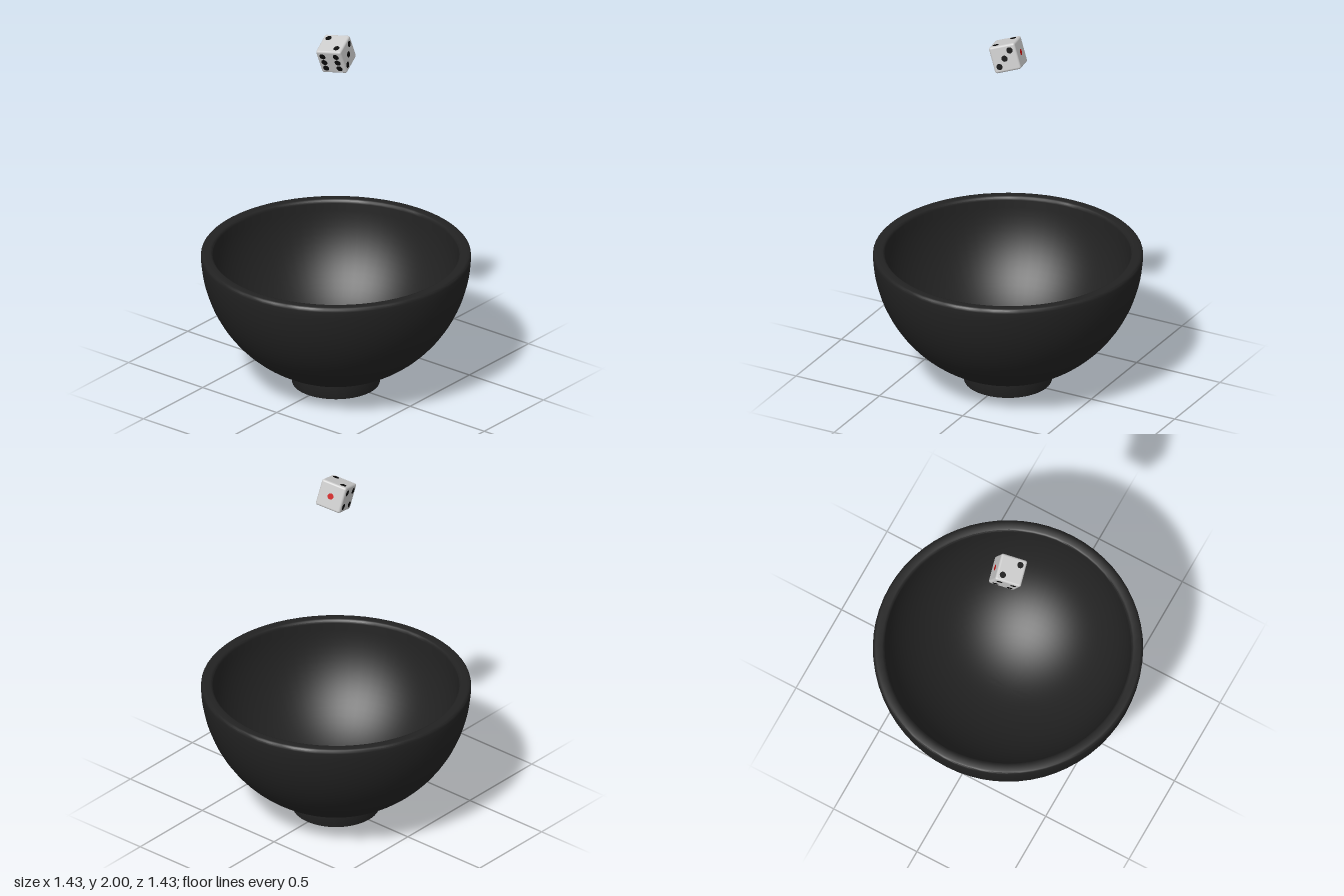
import * as THREE from 'three';
import { toCreasedNormals } from 'three/addons/utils/BufferGeometryUtils.js';
import { RoundedBoxGeometry } from 'three/addons/geometries/RoundedBoxGeometry.js';

const material = (color) => new THREE.MeshStandardMaterial({ color });

// Points on a circular arc about (0, cy), from angle a0 to a1 measured below the horizontal
function arc(radius, cy, a0, a1, steps) {
  return Array.from({ length: steps + 1 }, (_, i) => {
    const a = a0 + ((a1 - a0) * i) / steps;
    return [Math.max(0, radius * Math.cos(a)), cy - radius * Math.sin(a)];
  });
}

// Hemispherical bowl with a hollow foot ring and a rounded rim
function createBowl() {
  const rim = 0.752;
  const profile = [
    [0, 0.06], [0.188, 0.06], [0.194, 0.054], [0.194, 0.007], [0.2, 0],
    [0.225, 0], [0.231, 0.003], [0.233, 0.009], [0.233, 0.078],
    ...arc(0.713, rim, 1.231, 0.03, 24),
    [0.711, 0.743], [0.706, 0.749], [0.698, 0.752],
    [0.664, 0.752], [0.656, 0.749], [0.651, 0.743],
    ...arc(0.65, rim, 0.03, Math.PI / 2, 24),
  ].map(([x, y]) => new THREE.Vector2(x, y));
  const geometry = toCreasedNormals(new THREE.LatheGeometry(profile, 64), 0.7);
  const bowl = new THREE.Mesh(geometry, material(0x222222));
  bowl.name = 'bowl';
  return bowl;
}

// Rounded cube with pips on all six faces
function createDie() {
  const die = new THREE.Group();
  die.name = 'die';
  const half = 0.073;
  const d = 0.039;
  const body = new THREE.Mesh(new RoundedBoxGeometry(2 * half, 2 * half, 2 * half, 4, 0.012), material(0xcccccc));
  body.name = 'dieBody';
  die.add(body);

  const black = material(0x0a0a0a);
  const red = material(0xcc1111);
  const corners = [[-d, -d], [d, d], [-d, d], [d, -d]];
  const rising = [[-d, -d], [d, d]];
  const quarter = Math.PI / 2;
  // Face rotation about x and y, then pip positions on that face
  const faces = [
    { name: 'onePip', rx: 0, ry: quarter, pips: [[0, 0]] },
    { name: 'twoPips', rx: -quarter, ry: 0, pips: rising },
    { name: 'threePips', rx: 0, ry: 0, pips: [...rising, [0, 0]] },
    { name: 'fourPips', rx: 0, ry: Math.PI, pips: corners },
    { name: 'fivePips', rx: quarter, ry: 0, pips: [...corners, [0, 0]] },
    { name: 'sixPips', rx: 0, ry: -quarter, pips: [...corners, [-d, 0], [d, 0]] },
  ];
  const disc = new THREE.CircleGeometry(0.017, 24);
  for (const { name, rx, ry, pips } of faces) {
    const face = new THREE.Group();
    face.name = name;
    face.rotation.set(rx, ry, 0);
    for (const [x, y] of pips) {
      const pip = new THREE.Mesh(disc, pips.length === 1 ? red : black);
      pip.name = 'pip';
      pip.position.set(x, y, half + 0.0006);
      face.add(pip);
    }
    die.add(face);
  }

  // Tumbling pose in the air above the bowl
  const right = new THREE.Vector3(0.91, 0.3, -0.27).normalize();
  const front = new THREE.Vector3(0.25, 0.15, 0.955);
  const up = front.clone().cross(right).normalize();
  front.crossVectors(right, up);
  die.quaternion.setFromRotationMatrix(new THREE.Matrix4().makeBasis(right, up, front));
  die.position.set(0, 1.904, 0);
  return die;
}

export function createModel() {
  const model = new THREE.Group();
  model.name = 'bowlAndDie';
  model.add(createBowl(), createDie());
  return model;
}
